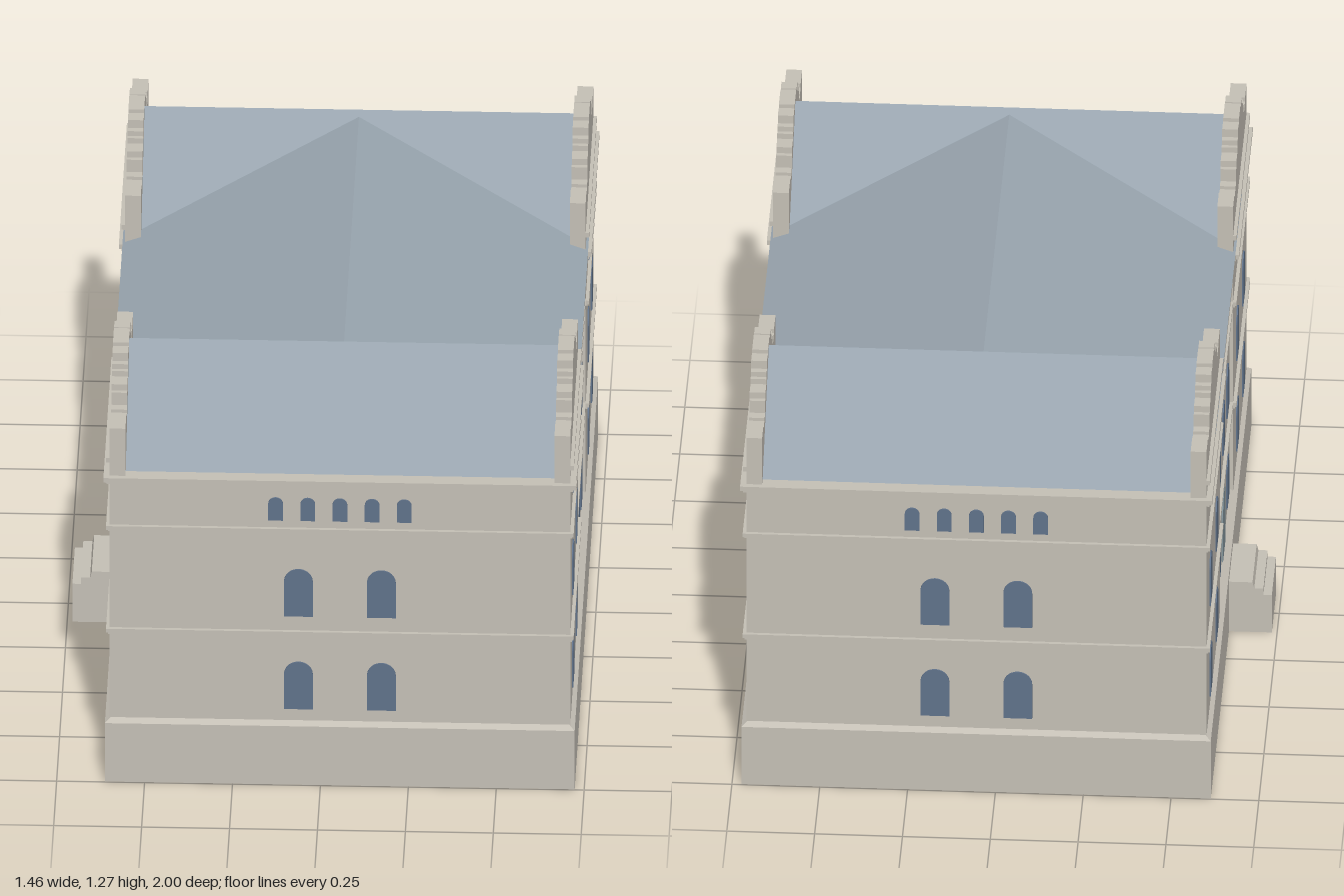
import * as THREE from 'three';

const CX = 0.055; // centre of the building body in x
const stone = new THREE.MeshStandardMaterial({ color: 0xc4bfb5, side: THREE.DoubleSide });
stone.name = 'stone';
const roofMat = new THREE.MeshStandardMaterial({ color: 0x98a4ae });
roofMat.name = 'slate';
const glass = new THREE.MeshStandardMaterial({ color: 0x60728a });
glass.name = 'windowGlass';
const doorMat = new THREE.MeshStandardMaterial({ color: 0x82939a });
doorMat.name = 'doorPaint';

export function createModel() {
  const model = new THREE.Group();
  model.name = 'building';

  const add = (name, geo, mat, x = 0, y = 0, z = 0, ry = 0) => {
    const mesh = new THREE.Mesh(geo, mat);
    mesh.name = name;
    mesh.position.set(x, y, z);
    mesh.rotation.y = ry;
    model.add(mesh);
    return mesh;
  };
  const box = (name, hx, y0, y1, z0, z1) =>
    add(name, new THREE.BoxGeometry(hx * 2, y1 - y0, z1 - z0), stone, CX, (y0 + y1) / 2, (z0 + z1) / 2);
  // Extrusion of a polygon, centred on its depth
  const prism = (pts, depth) => {
    const shape = new THREE.Shape(pts.map(p => new THREE.Vector2(p[0], p[1])));
    return new THREE.ExtrudeGeometry(shape, { depth, bevelEnabled: false }).translate(0, 0, -depth / 2);
  };

  // Plinth: shell open at the bottom with a sloping ledge
  const rings = [[0, 0.668, 0.997], [0.192, 0.668, 0.997], [0.21, 0.644, 0.974]];
  const corners = [[1, 1], [1, -1], [-1, -1], [-1, 1]];
  const pos = [];
  for (let r = 0; r < 2; r++) {
    for (let i = 0; i < 4; i++) {
      const at = (ring, c) => [c[0] * ring[1], ring[0], c[1] * ring[2]];
      const c = corners[i], d = corners[(i + 1) % 4];
      const a = at(rings[r], c), b = at(rings[r], d), e = at(rings[r + 1], d), f = at(rings[r + 1], c);
      pos.push(...a, ...b, ...e, ...a, ...e, ...f);
    }
  }
  const plinth = new THREE.BufferGeometry();
  plinth.setAttribute('position', new THREE.Float32BufferAttribute(pos, 3));
  plinth.computeVertexNormals();
  add('plinth', plinth, stone, CX);

  // One horizontal layer over both wings and the recessed centre
  const layer = (name, y0, y1, out) => {
    box(name + 'Centre', 0.645 + out, y0, y1, -0.325, 0.325);
    box(name + 'FrontWing', 0.655 + out, y0, y1, 0.325 - out / 2, 0.982 + out);
    box(name + 'BackWing', 0.655 + out, y0, y1, -0.982 - out, -0.325 + out / 2);
  };
  layer('wall', 0.2, 0.985, 0);
  layer('lowerBandFillet', 0.48, 0.487, 0.005);
  layer('lowerBand', 0.487, 0.5, 0.01);
  layer('upperBandFillet', 0.82, 0.826, 0.005);
  layer('upperBand', 0.826, 0.838, 0.01);
  layer('corniceFillet', 0.976, 0.985, 0.009);
  layer('cornice', 0.985, 1, 0.017);

  // Arched plates for windows and door
  const arch = (w, h) => {
    const s = new THREE.Shape();
    s.moveTo(-w / 2, 0);
    s.lineTo(w / 2, 0);
    s.lineTo(w / 2, h - w / 2);
    s.absarc(0, h - w / 2, w / 2, 0, Math.PI, false);
    return new THREE.ExtrudeGeometry(s, { depth: 0.004, bevelEnabled: false, curveSegments: 10 });
  };
  const large = arch(0.082, 0.155), medium = arch(0.052, 0.1), small = arch(0.042, 0.075);

  // Front and back windows
  for (const s of [1, -1]) {
    const ry = s > 0 ? 0 : Math.PI;
    for (const y of [0.242, 0.547])
      for (const x of [-0.118, 0.118]) add('endWindow', large, glass, CX + x, y, s * 0.982, ry);
    for (let i = -2; i <= 2; i++) add('endAtticWindow', small, glass, CX + i * 0.0915, 0.862, s * 0.982, ry);
  }

  // Side windows, with the entrance in the middle of the right side
  for (const s of [1, -1]) {
    const ry = s * Math.PI / 2, wing = CX + s * 0.655, mid = CX + s * 0.645;
    for (const y of [0.244, 0.548]) {
      for (const z of [-0.8, -0.51, 0.51, 0.8]) add('wingWindow', large, glass, wing, y, z, ry);
      for (const z of [-0.198, 0, 0.198])
        if (s > 0 || z !== 0 || y > 0.5) add('centreWindow', large, glass, mid, y, z, ry);
    }
    for (const c of [-0.655, 0.655])
      for (const d of [-0.098, 0, 0.098]) add('wingAtticWindow', medium, glass, wing, 0.85, c + d, ry);
    for (let i = -2.5; i <= 2.5; i++) add('centreAtticWindow', small, glass, mid, 0.865, i * 0.0975, ry);
  }
  add('door', arch(0.13, 0.21), doorMat, CX - 0.645, 0.2, 0, -Math.PI / 2);

  // Entrance steps
  add('entranceSteps', prism([[-0.605, 0], [-0.735, 0], [-0.735, 0.125], [-0.711, 0.125], [-0.711, 0.146],
    [-0.685, 0.146], [-0.68, 0.166], [-0.605, 0.166]], 0.205), stone);

  // Roofs: the centre gable dies into the two cross gables
  add('centreRoof', prism([[-0.662, 1], [0.662, 1], [0, 1.246]], 1.28), roofMat, CX);
  for (const s of [1, -1])
    add('wingRoof', prism([[-0.305, 1], [0.305, 1], [0, 1.26]], 1.24), roofMat, CX, 0, s * 0.652, Math.PI / 2);

  // Stepped gables: [outer offset, height] from the middle outwards
  const steps = [[0.04, 1.27], [0.055, 1.258], [0.09, 1.264], [0.108, 1.238], [0.12, 1.222],
    [0.165, 1.205], [0.178, 1.185], [0.205, 1.145], [0.222, 1.135], [0.255, 1.142], [0.329, 1.155]];
  const half = [];
  let inner = 0;
  for (const [d, y] of steps) {
    half.push([inner, y], [d, y]);
    inner = d;
  }
  half.push([inner, 0.998]);
  const mirrored = half.slice(1).reverse().map(([d, y]) => [-d, y]);
  const gable = prism([...mirrored, ...half], 0.045);
  for (const sx of [1, -1]) {
    for (const sz of [1, -1]) {
      const zc = sz * 0.655, face = CX + sx * 0.655;
      add('steppedGable', gable, stone, CX + sx * 0.6325, 0, zc, Math.PI / 2);
      add('gableMoulding', new THREE.BoxGeometry(0.02, 0.015, 0.658), stone, face, 1.05, zc);
      for (const d of [-1, 1]) {
        // Stepped corbels below the moulding
        add('gableCorbel', new THREE.BoxGeometry(0.016, 0.016, 0.06), stone, face, 1.035, zc + d * 0.22);
        add('gableCorbelFoot', new THREE.BoxGeometry(0.014, 0.018, 0.025), stone, face, 1.019, zc + d * 0.213);
      }
    }
  }
  return model;
}
